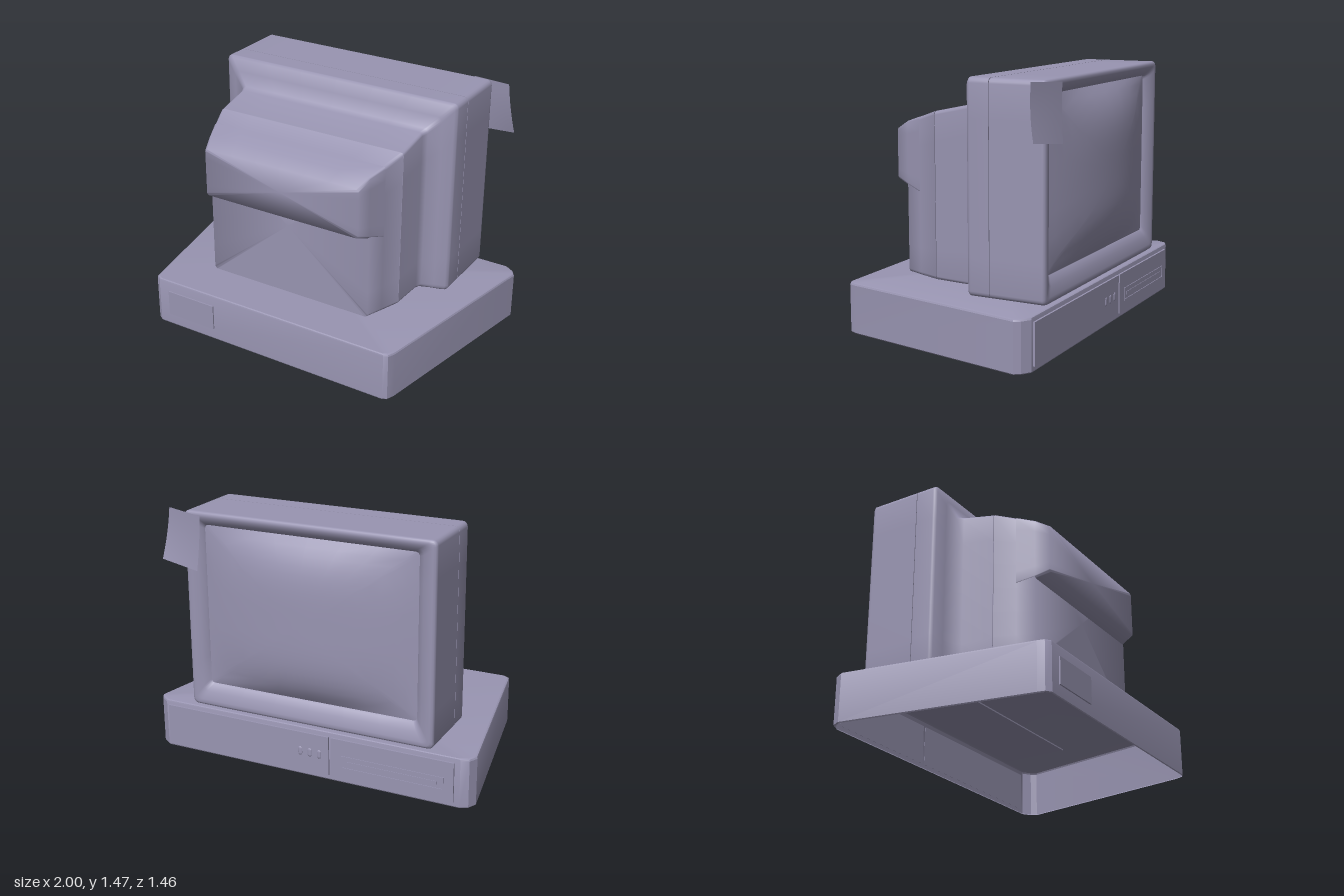
import * as THREE from 'three';
import { toCreasedNormals } from 'three/addons/utils/BufferGeometryUtils.js';

const plastic = new THREE.MeshStandardMaterial({ color: 0x9995b2, side: THREE.DoubleSide });

function add(parent, name, geometry, x = 0, y = 0, z = 0) {
  const mesh = new THREE.Mesh(geometry, plastic);
  mesh.name = name;
  mesh.position.set(x, y, z);
  parent.add(mesh);
  return mesh;
}

// Skin a row of rings with equal point counts; the last ring is closed with a fan.
function loft(rings, crease) {
  const n = rings[0].length;
  const pos = rings.flat().flatMap((p) => p.toArray());
  const index = [];
  for (let i = 0; i < rings.length - 1; i++) {
    for (let k = 0; k < n; k++) {
      const a = i * n + k, b = i * n + ((k + 1) % n);
      index.push(a, b, b + n, a, b + n, a + n);
    }
  }
  const last = rings[rings.length - 1];
  const mid = last.reduce((s, p) => s.add(p), new THREE.Vector3()).divideScalar(n);
  pos.push(...mid.toArray());
  const base = (rings.length - 1) * n;
  for (let k = 0; k < n; k++) index.push(base + k, base + ((k + 1) % n), rings.length * n);
  const g = new THREE.BufferGeometry();
  g.setAttribute('position', new THREE.Float32BufferAttribute(pos, 3));
  g.setIndex(index);
  return toCreasedNormals(g, crease);
}

// Rounded rectangle at depth z, or at a depth given by zAt(x, y).
function section(z, half, top, bottom, r, zAt = () => z) {
  const corners = [[bottom, 1, -1], [top, 1, 1], [top, -1, 1], [bottom, -1, -1]];
  const arcs = [];
  corners.forEach(([y, sx, sy], c) => {
    for (let i = 0; i <= 4; i++) {
      const a = (c - 1 + i / 4) * Math.PI / 2;
      arcs.push(new THREE.Vector3(sx * (half - r) + r * Math.cos(a), y - sy * r + r * Math.sin(a), 0));
    }
  });
  // Split the long edges so that curved surfaces stay smooth.
  const pts = [];
  arcs.forEach((p, i) => {
    pts.push(p);
    if (i % 5 === 4) {
      const q = arcs[(i + 1) % 20];
      for (let k = 1; k < 6; k++) pts.push(p.clone().lerp(q, k / 6));
    }
  });
  pts.forEach((p) => { p.z = zAt(p.x, p.y); });
  return pts;
}

function buildMonitor() {
  const monitor = new THREE.Group();
  monitor.name = 'monitor';

  // Bulging glass
  const cy = 0.912, W = 0.655, H = 0.478;
  const dome = (x, y) => 0.045 - 0.105 * (1 - (x / W) ** 2) * (1 - ((y - cy) / H) ** 4);
  const glass = [];
  for (let i = 0; i <= 10; i++) {
    const s = Math.max(0.002, i / 10);
    glass.push(section(0, W * s, cy + H * s, cy - H * s, 0.02 * s, dome));
  }
  add(monitor, 'screen', loft(glass.map((r) => r.reverse()).reverse(), 0.9));

  // Bezel, case with thin seams, and tapering tube housing
  const T = 1.47, B = 0.3;
  add(monitor, 'housing', loft([
    section(0.05, 0.65, 1.385, 0.438, 0.02),
    section(0.035, 0.66, 1.395, 0.425, 0.025),
    section(0.015, 0.69, 1.415, 0.385, 0.03),
    section(0.002, 0.725, 1.44, 0.335, 0.03),
    section(0.0, 0.745, 1.455, 0.315, 0.03),
    section(0.005, 0.758, 1.465, 0.304, 0.03),
    section(0.015, 0.765, T, B, 0.03),
    section(0.025, 0.765, T, B, 0.03),
    section(0.324, 0.765, T, B, 0.03),
    section(0.324, 0.759, T - 0.006, B + 0.006, 0.03),
    section(0.328, 0.759, T - 0.006, B + 0.006, 0.03),
    section(0.328, 0.765, T, B, 0.03),
    section(0.44, 0.765, T, B, 0.03),
    section(0.45, 0.763, T, B, 0.03),
    section(0.463, 0.75, T - 0.012, B + 0.004, 0.03),
    section(0.485, 0.69, 1.39, 0.308, 0.03),
    section(0.512, 0.62, 1.315, 0.31, 0.025),
    section(0.55, 0.605, 1.303, 0.312, 0.02),
    section(0.752, 0.6, 1.26, 0.315, 0.02),
    section(0.752, 0.595, 1.255, 0.32, 0.02),
    section(0.756, 0.595, 1.255, 0.32, 0.02),
    section(0.756, 0.6, 1.26, 0.315, 0.02),
    section(0.88, 0.56, 1.218, 0.318, 0.02),
    section(0.98, 0.525, 1.185, 0.32, 0.02),
  ], 1.28));

  // Overhanging upper block
  add(monitor, 'overhang', loft([
    section(0.88, 0.561, 1.219, 0.79, 0.015),
    section(0.98, 0.526, 1.186, 0.82, 0.015),
    section(1.06, 0.5, 1.14, 0.85, 0.015),
  ], 1.28));

  // Low foot under the case
  add(monitor, 'foot', new THREE.BoxGeometry(1.4, 0.03, 0.42), 0, 0.3, 0.23);

  monitor.position.set(-0.01, 0, -0.585);
  monitor.rotation.y = 0.1365;
  return monitor;
}

function buildBase() {
  const base = new THREE.Group();
  base.name = 'base';

  // Shell with softened corners, open underneath
  const outline = [
    [0.91, 0.52], [0.933, 0.505], [0.945, 0.46], [1, -0.67], [0.975, -0.7], [0.92, -0.727],
    [-0.94, -0.48], [-0.982, -0.455], [-1, -0.4], [-0.65, 0.67], [-0.635, 0.71], [-0.6, 0.727],
  ];
  const ring = (y, s) => outline.map(([x, z]) => new THREE.Vector3(x * s, y, z * s));
  add(base, 'baseShell', loft([
    ring(0, 0.995), ring(0.006, 1), ring(0.28, 1), ring(0.289, 0.996), ring(0.293, 0.986),
  ], 0.4));

  // Plate on the front side
  const plate = add(base, 'frontPlate', new THREE.BoxGeometry(0.325, 0.155, 0.01), -0.37, 0.148, 0.699);
  plate.rotation.y = 0.135;

  // Panels, buttons and drive slot on the rear side
  const panel = new THREE.Group();
  panel.name = 'rearPanel';
  panel.position.set(-0.01, 0, -0.6035);
  panel.rotation.y = 0.132;
  base.add(panel);
  add(panel, 'widePanel', new THREE.BoxGeometry(1.07, 0.235, 0.012), 0.385, 0.148, -0.005);
  add(panel, 'drivePanel', new THREE.BoxGeometry(0.74, 0.235, 0.012), -0.535, 0.148, -0.005);
  for (const x of [0.03, -0.03, -0.09]) {
    const button = add(panel, 'button', new THREE.CapsuleGeometry(0.014, 0.025, 4, 10), x, 0.15, -0.01);
    button.scale.z = 0.4;
  }
  for (const s of [-1, 1]) {
    add(panel, 'slotRim', new THREE.BoxGeometry(0.62, 0.01, 0.012), -0.54, 0.13 + s * 0.035, -0.009);
    add(panel, 'slotEnd', new THREE.BoxGeometry(0.01, 0.08, 0.012), -0.54 + s * 0.305, 0.13, -0.009);
  }
  add(panel, 'slotBar', new THREE.BoxGeometry(0.54, 0.02, 0.012), -0.54, 0.13, -0.008);
  return base;
}

// Curled paper note stuck to a corner of the bezel
function buildNote() {
  const g = new THREE.PlaneGeometry(1, 1, 6, 8);
  const p = g.attributes.position;
  for (let i = 0; i < p.count; i++) {
    const u = p.getX(i) + 0.5, v = 0.5 - p.getY(i);
    const x = 0.615 + 0.245 * u + v * (0.02 + 0.015 * u);
    const y = 1.455 + 0.015 * u - v * (0.315 - 0.015 * u);
    const z = -0.703 + 0.025 * u - v * v * (0.02 + 0.02 * u);
    p.setXYZ(i, x, y, z);
  }
  // Turn the faces towards the rear.
  g.index.array.reverse();
  g.computeVertexNormals();
  return g;
}

export function createModel() {
  const model = new THREE.Group();
  model.name = 'desktopComputer';
  model.add(buildBase(), buildMonitor());
  add(model, 'paperNote', buildNote());
  return model;
}
